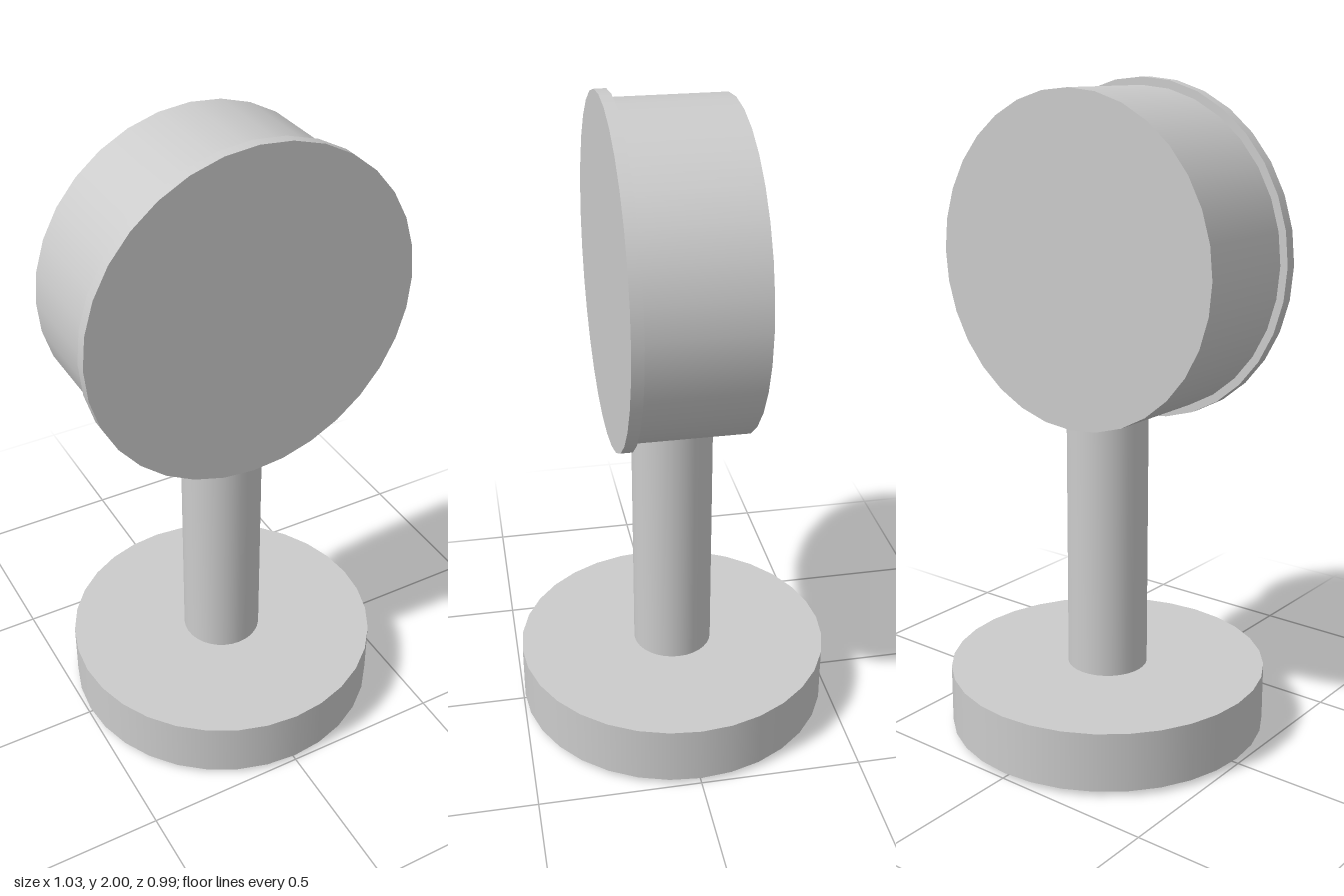
import * as THREE from 'three';

const material = new THREE.MeshStandardMaterial({ color: 0xcccccc });
const SIDES = 32;
const HEAD_Y = 1.486;

// Solid disc or rod running from one position to another along its axis
function disc(name, radius, from, to, facesFront = false) {
  const geometry = new THREE.CylinderGeometry(radius, radius, to - from, SIDES);
  geometry.translate(0, (from + to) / 2, 0);
  if (facesFront) geometry.rotateX(Math.PI / 2);
  const mesh = new THREE.Mesh(geometry, material);
  mesh.name = name;
  return mesh;
}

export function createModel() {
  const model = new THREE.Group();
  model.name = 'roundHeadStand';

  // Foot, with the stem poking slightly out below it
  model.add(disc('base', 0.495, 0.015, 0.198));
  model.add(disc('stem', 0.125, 0, 1.04));

  // Drum-shaped head with a wider front plate
  const head = new THREE.Group();
  head.name = 'head';
  head.position.y = HEAD_Y;
  head.add(disc('drum', 0.49, -0.178, 0.165, true));
  head.add(disc('frontPlate', 0.514, 0.165, 0.2, true));
  model.add(head);

  return model;
}
